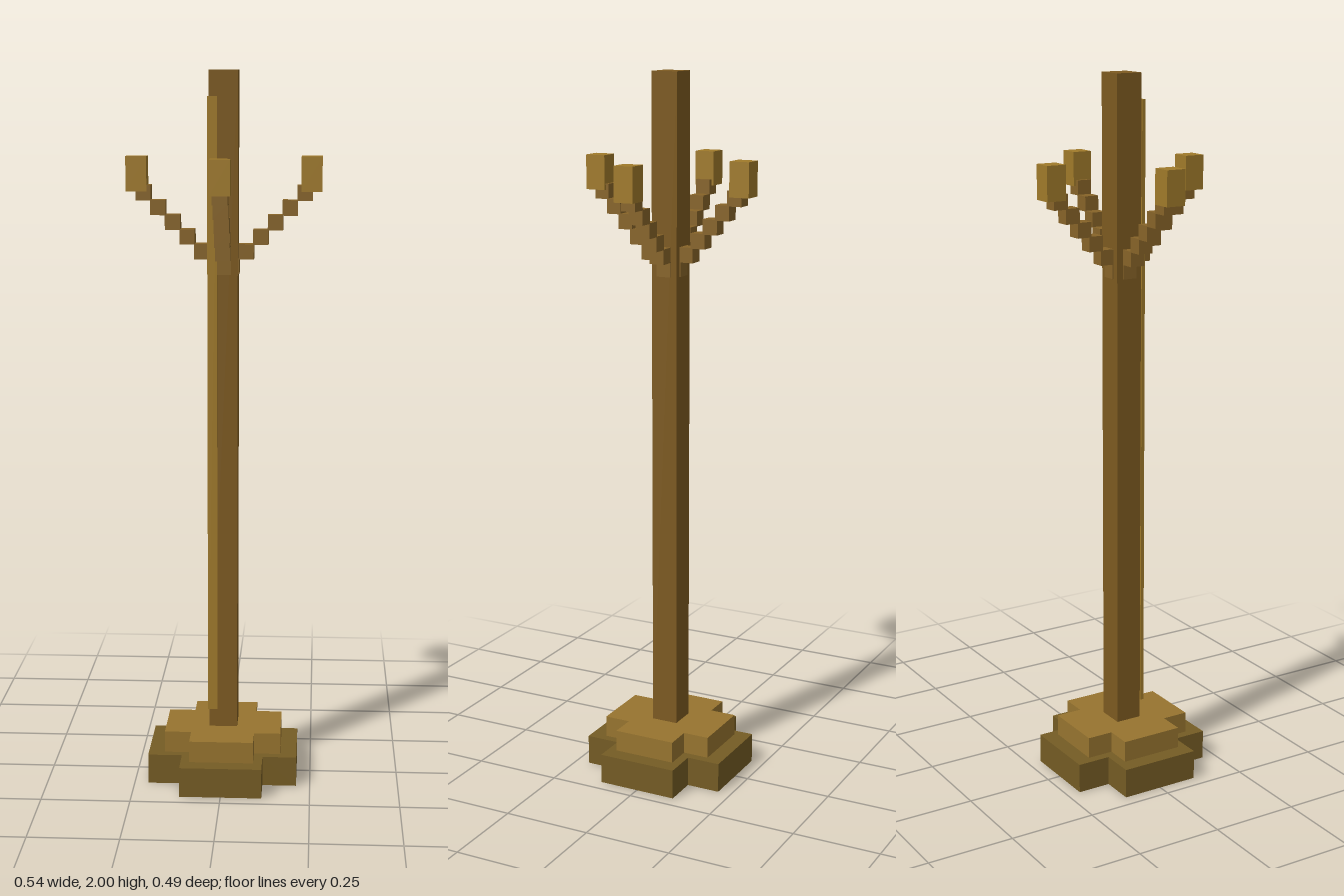
import * as THREE from 'three';

const material = (color) => new THREE.MeshStandardMaterial({ color, flatShading: true });

export function createModel() {
  const model = new THREE.Group();
  const mats = {
    base: material(0x755c24),
    step: material(0x97742f),
    post: material(0x7d5a20),
    arm: material(0x876428),
    tip: material(0xa07a2a),
  };

  // Box given by its lower and upper corners
  function box(name, mat, min, max, parent = model) {
    const size = max.map((v, i) => v - min[i]);
    const mesh = new THREE.Mesh(new THREE.BoxGeometry(...size), mat);
    mesh.position.set(...min.map((v, i) => v + size[i] / 2));
    mesh.name = name;
    parent.add(mesh);
    return mesh;
  }

  // Plus-shaped slab: long reach a, half width of each limb b
  function crossSlab(name, mat, a, b, y0, y1) {
    const outline = [[a, -b], [a, b], [b, b], [b, a], [-b, a], [-b, b],
      [-a, b], [-a, -b], [-b, -b], [-b, -a], [b, -a], [b, -b]];
    const shape = new THREE.Shape(outline.map(([x, y]) => new THREE.Vector2(x, y)));
    const geo = new THREE.ExtrudeGeometry(shape, { depth: y1 - y0, bevelEnabled: false });
    geo.rotateX(-Math.PI / 2);
    const mesh = new THREE.Mesh(geo, mat);
    mesh.position.y = y0;
    mesh.name = name;
    model.add(mesh);
  }

  // Two-tier foot
  crossSlab('lowerBase', mats.base, 0.211, 0.115, 0, 0.085);
  crossSlab('upperBase', mats.step, 0.165, 0.09, 0.085, 0.146);

  // Post with a thin strip on its front
  box('post', mats.post, [-0.04, 0.146, -0.039], [0.039, 2, 0.037]);
  box('frontStrip', mats.tip, [-0.044, 0.2, 0.037], [-0.017, 1.93, 0.047]);

  // Four stepped arms, each ending in a taller block
  function arm(name, angle, pitch, tipStart) {
    const group = new THREE.Group();
    group.name = name;
    for (let k = 0; k <= 5; k++) {
      const x = pitch * k, y = 1.45 + 0.04 * k;
      box('armStep', mats.arm, [x, y, -0.021], [x + 0.042, y + 0.042, 0.021], group);
    }
    box('armTip', mats.tip, [tipStart, 1.675, -0.028], [tipStart + 0.057, 1.77, 0.028], group);
    group.rotation.y = angle;
    model.add(group);
  }
  arm('leftArm', 0, 0.04, 0.211);
  arm('backArm', Math.PI / 2, 0.036, 0.189);
  arm('rightArm', Math.PI, 0.04, 0.211);
  arm('frontArm', -Math.PI / 2, 0.036, 0.189);

  return model;
}
